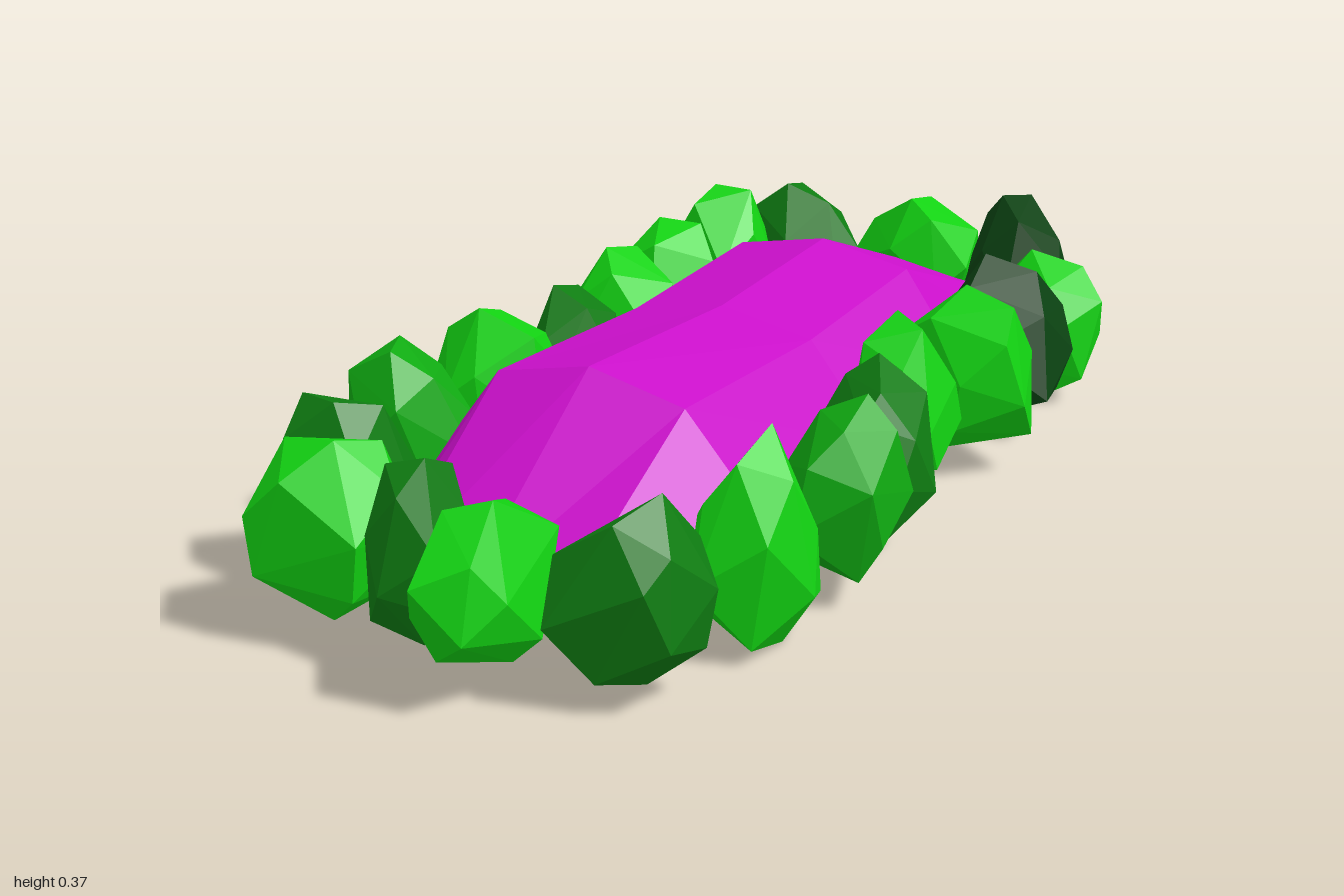
import * as THREE from 'three';
import { ConvexGeometry } from 'three/addons/geometries/ConvexGeometry.js';

const mat = (name, color, extra = {}) => {
  const m = new THREE.MeshStandardMaterial({ color, flatShading: true, ...extra });
  m.name = name;
  return m;
};

// small seeded random generator
function seeded(seed) {
  let s = seed * 7919 + 17;
  return () => (s = (s * 16807) % 2147483647) / 2147483647;
}

// faceted stone: jittered points on a tapered ball, fitted to a given box
function stoneGeometry(seed, x0, x1, y0, y1, z0, z1) {
  const rnd = seeded(seed);
  for (let i = 0; i < 5; i++) rnd();
  const pts = [];
  const n = 17, turn = rnd() * 6.28;
  const leanX = (rnd() - 0.5) * 0.3, leanZ = (rnd() - 0.5) * 0.3;
  for (let i = 0; i < n; i++) {
    const y = 1 - (2 * (i + 0.5)) / n;
    const a = turn + i * 2.4 + (rnd() - 0.5) * 0.8;
    const r = Math.sqrt(1 - y * y) * (1 - 0.18 * y) * (0.9 + 0.2 * rnd());
    pts.push(new THREE.Vector3(Math.cos(a) * r + leanX * y, y + (rnd() - 0.5) * 0.15, Math.sin(a) * r + leanZ * y));
  }
  const box = new THREE.Box3().setFromPoints(pts);
  const size = box.getSize(new THREE.Vector3());
  for (const p of pts) {
    p.sub(box.min).divide(size);
    p.set(x0 + p.x * (x1 - x0), y0 + p.y * (y1 - y0), z0 + p.z * (z1 - z0));
  }
  return new ConvexGeometry(pts);
}

// mound: open faceted shell, each row is [z, ridge y, shoulder y, edge y, shoulder x, edge x]
function moundGeometry() {
  const rows = [
    [-0.86, 0.18, 0.15, 0.08, 0.16, 0.24],
    [-0.41, 0.355, 0.32, 0.14, 0.18, 0.32],
    [0, 0.34, 0.305, 0.13, 0.18, 0.32],
    [0.45, 0.37, 0.33, 0.14, 0.18, 0.33],
    [0.83, 0.11, 0.1, 0.05, 0.16, 0.24],
  ];
  const pos = [], idx = [];
  for (const [z, top, mid, low, xm, xe] of rows) {
    pos.push(-xe, low, z * 0.96, -xm, mid, z, 0, top, z, xm, mid, z, xe, low, z * 0.96);
  }
  for (let r = 0; r < rows.length - 1; r++) {
    for (let c = 0; c < 4; c++) {
      const a = r * 5 + c, b = a + 5;
      idx.push(a, b, a + 1, b, b + 1, a + 1);
    }
  }
  const g = new THREE.BufferGeometry();
  g.setAttribute('position', new THREE.Float32BufferAttribute(pos, 3));
  g.setIndex(idx);
  const flat = g.toNonIndexed();
  flat.computeVertexNormals();
  return flat;
}

export function createModel() {
  const group = new THREE.Group();
  group.name = 'stoneBorderedBed';

  const L = mat('brightGreen', 0x12d212);
  const M = mat('midGreen', 0x10ac12);
  const D = mat('deepGreen', 0x0f7d12);
  const K = mat('darkGreen', 0x0b4212);
  const purple = mat('purple', 0xcc10cc, { side: THREE.DoubleSide });

  const mound = new THREE.Mesh(moundGeometry(), purple);
  mound.name = 'mound';
  group.add(mound);

  // each stone: material, x centre, z centre, x width, z depth, bottom, top
  const stones = [
    [L, -0.33, -0.62, 0.2, 0.25, 0.03, 0.36],
    [L, -0.36, -0.41, 0.21, 0.25, 0.03, 0.34],
    [L, -0.345, -0.195, 0.22, 0.25, 0.03, 0.34],
    [D, -0.315, 0.015, 0.18, 0.22, 0.04, 0.33],
    [L, -0.365, 0.215, 0.27, 0.23, 0.04, 0.34],
    [M, -0.36, 0.45, 0.23, 0.25, 0.03, 0.345],
    [D, -0.36, 0.66, 0.25, 0.22, 0, 0.33],
    [L, -0.25, 0.81, 0.24, 0.25, 0.04, 0.34],
    [D, -0.08, 0.83, 0.16, 0.19, 0.03, 0.345],
    [L, 0.075, 0.845, 0.18, 0.31, 0.05, 0.315],
    [D, 0.27, 0.775, 0.25, 0.25, 0.03, 0.33],
    [L, 0.36, 0.545, 0.2, 0.25, 0, 0.362],
    [M, 0.39, 0.33, 0.2, 0.25, 0.03, 0.345],
    [D, 0.365, 0.12, 0.21, 0.25, 0.03, 0.34],
    [L, 0.32, -0.09, 0.18, 0.22, 0.04, 0.345],
    [L, 0.365, -0.29, 0.27, 0.23, 0.04, 0.34],
    [K, 0.35, -0.52, 0.24, 0.27, 0.03, 0.335],
    [L, 0.34, -0.72, 0.26, 0.24, 0, 0.29],
    [K, 0.23, -0.88, 0.21, 0.24, 0.03, 0.345],
    [L, 0, -0.87, 0.28, 0.22, 0.04, 0.33],
    [D, -0.25, -0.82, 0.27, 0.22, 0.03, 0.34],
  ];
  stones.forEach(([m, x, z, w, d, y0, y1], i) => {
    const g = stoneGeometry(i + 3, x - w / 2, x + w / 2, y0, y1, z - d / 2, z + d / 2);
    const mesh = new THREE.Mesh(g, m);
    mesh.name = 'stone' + (i + 1);
    group.add(mesh);
  });
  return group;
}
